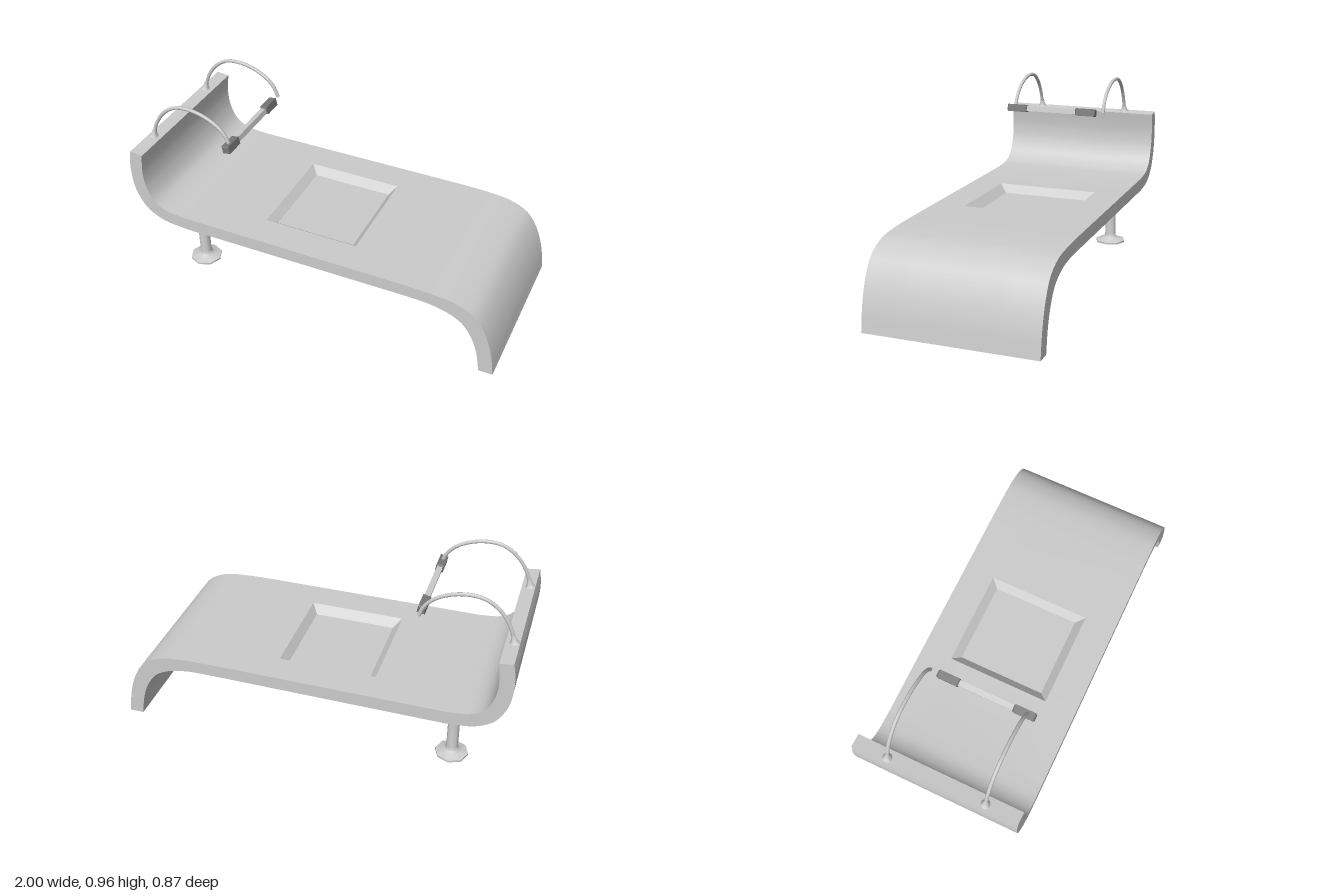
import * as THREE from 'three';
import { toCreasedNormals } from 'three/addons/utils/BufferGeometryUtils.js';

const grey = new THREE.MeshStandardMaterial({ color: 0xcccccc });
const dark = new THREE.MeshStandardMaterial({ color: 0x777777 });

function add(parent, name, geometry, material = grey) {
  const mesh = new THREE.Mesh(geometry, material);
  mesh.name = name;
  parent.add(mesh);
  return mesh;
}

const spline = pts => new THREE.CatmullRomCurve3(pts.map(([x, y]) => new THREE.Vector3(x, y, 0)));

// Curved bench shell: paired upper and lower profiles swept across z, with a sunken panel
function shellGeometry() {
  const headTop = spline([[-0.92, 0.727], [-0.928, 0.66], [-0.93, 0.6], [-0.918, 0.525], [-0.88, 0.45], [-0.815, 0.41], [-0.7, 0.396]]);
  const headLow = spline([[-0.988, 0.735], [-1, 0.66], [-1, 0.58], [-0.985, 0.49], [-0.93, 0.393], [-0.84, 0.342], [-0.7, 0.325]]);
  const footTop = spline([[0.5, 0.405], [0.65, 0.402], [0.78, 0.387], [0.88, 0.338], [0.94, 0.25], [0.98, 0.13], [1, 0]]);
  const footLow = spline([[0.5, 0.338], [0.64, 0.335], [0.74, 0.316], [0.82, 0.275], [0.875, 0.2], [0.908, 0.11], [0.927, 0]]);

  const stations = [];
  const sample = (top, low, n) => {
    for (let i = 0; i <= n; i++) stations.push({ t: top.getPoint(i / n), b: low.getPoint(i / n), drop: false });
  };
  sample(headTop, headLow, 30);
  for (const [x, drop] of [[-0.31, false], [-0.27, true], [0.16, true], [0.195, false]]) {
    const k = (x + 0.7) / 1.2;
    stations.push({ t: new THREE.Vector3(x, 0.396 + 0.009 * k, 0), b: new THREE.Vector3(x, 0.325 + 0.013 * k, 0), drop });
  }
  sample(footTop, footLow, 30);

  const zs = [-0.435, -0.275, -0.235, 0.225, 0.27, 0.435];
  const n = zs.length + 2, pos = [], idx = [];
  for (const { t, b, drop } of stations) {
    zs.forEach((z, j) => pos.push(t.x, t.y - (drop && (j === 2 || j === 3) ? 0.04 : 0), z));
    pos.push(b.x, b.y, 0.435, b.x, b.y, -0.435);
  }
  for (let i = 0; i < stations.length - 1; i++) {
    for (let j = 0; j < n; j++) {
      const a = i * n + j, b = i * n + (j + 1) % n, c = b + n, d = a + n;
      // Mitre the panel corners by turning the diagonal
      if ((i < 32) === (j < 2)) idx.push(a, b, c, a, c, d);
      else idx.push(a, b, d, b, c, d);
    }
  }
  const e = (stations.length - 1) * n;
  idx.push(0, 6, 5, 0, 7, 6, e, e + 5, e + 6, e, e + 6, e + 7);
  const g = new THREE.BufferGeometry();
  g.setAttribute('position', new THREE.Float32BufferAttribute(pos, 3));
  g.setIndex(idx);
  return toCreasedNormals(g, 0.45);
}

const lathe = (pts, sides) => toCreasedNormals(
  new THREE.LatheGeometry(pts.map(p => new THREE.Vector2(...p)), sides), 0.9);

// Square grip with chamfered ends, running along z
function gripGeometry(length) {
  const r = 0.029, c = 0.007, h = length / 2;
  const g = new THREE.LatheGeometry([
    [0, -h], [r - c, -h], [r, -h + c], [r, h - c], [r - c, h], [0, h],
  ].map(p => new THREE.Vector2(...p)), 4);
  g.rotateY(Math.PI / 4).rotateX(Math.PI / 2);
  return toCreasedNormals(g, 0.3);
}

export function createModel() {
  const model = new THREE.Group();
  model.name = 'bench';
  add(model, 'shell', shellGeometry());

  const leg = lathe([[0, 0], [0.085, 0], [0.085, 0.01], [0.05, 0.02], [0.034, 0.032], [0.03, 0.05], [0.03, 0.335]], 8);
  const arch = spline([[-0.963, 0.725], [-0.935, 0.815], [-0.88, 0.895], [-0.81, 0.941], [-0.735, 0.951],
    [-0.65, 0.936], [-0.57, 0.895], [-0.525, 0.845], [-0.505, 0.795]]);
  const archTube = new THREE.TubeGeometry(arch, 32, 0.0095, 8);
  const flare = lathe([[0, 0], [0.026, 0], [0.02, 0.008], [0.014, 0.022], [0.009, 0.045]], 12);

  for (const [side, s] of [['left', 1], ['right', -1]]) {
    const z = 0.257 * s;
    // Round leg with a spread foot, toward the head end
    add(model, side + 'Leg', leg).position.set(-0.715, 0, z);
    // Arched arm with a flared root and closed tip
    const arm = new THREE.Group();
    arm.name = side + 'Arm';
    arm.position.z = z;
    add(arm, 'arch', archTube);
    const root = add(arm, 'flare', flare);
    root.position.set(-0.962, 0.73, 0);
    root.rotation.z = -0.2;
    const tip = add(arm, 'tip', new THREE.CircleGeometry(0.0095, 8));
    tip.position.copy(arch.getPoint(1));
    tip.lookAt(tip.position.clone().add(arch.getTangent(1)));
    model.add(arm);
  }

  // Cross bar with a grip at each end
  const handle = new THREE.Group();
  handle.name = 'handleBar';
  handle.position.set(-0.507, 0.795, 0.0425);
  handle.rotation.z = 0.2;
  add(handle, 'rod', new THREE.BoxGeometry(0.029, 0.029, 0.4));
  for (const s of [-1, 1]) add(handle, 'grip', gripGeometry(0.115), dark).position.z = 0.2 * s;
  model.add(handle);
  return model;
}
